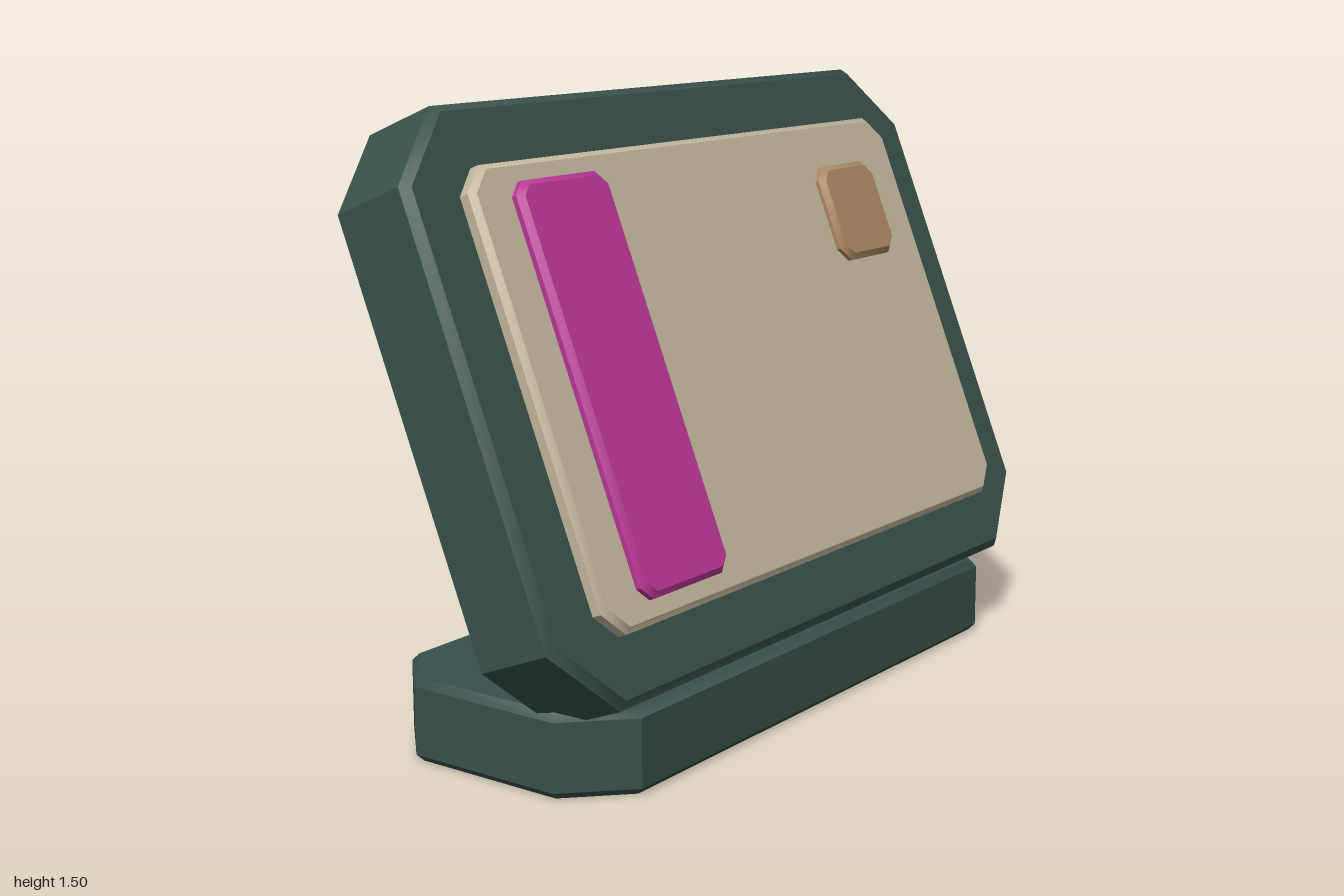
import * as THREE from 'three';
import { toCreasedNormals } from 'three/addons/utils/BufferGeometryUtils.js';

const mat = (name, color) => Object.assign(new THREE.MeshStandardMaterial({ color }), { name });

// Slab with cut corners and a small bevelled rim, centred on its own origin, facing +z
function slab(name, material, w, h, depth, cut, bevel) {
  const x = w / 2 - bevel, y = h / 2 - bevel, c = cut - bevel * 0.59;
  const shape = new THREE.Shape([
    [x - c, -y], [x, -y + c], [x, y - c], [x - c, y],
    [-x + c, y], [-x, y - c], [-x, -y + c], [-x + c, -y],
  ].map(([px, py]) => new THREE.Vector2(px, py)));
  const geo = new THREE.ExtrudeGeometry(shape, {
    depth: depth - 2 * bevel, bevelEnabled: true,
    bevelSize: bevel, bevelThickness: bevel, bevelSegments: 1,
  });
  geo.translate(0, 0, bevel - depth / 2);
  const mesh = new THREE.Mesh(toCreasedNormals(geo, 0.7), material);
  mesh.name = name;
  return mesh;
}

export function createModel() {
  const green = mat('dark green', 0x38504b);
  const tan = mat('tan', 0xc0b69a);
  const magenta = mat('magenta', 0xb83696);
  const brown = mat('light brown', 0xab8862);

  const model = new THREE.Group();
  model.name = 'tiltedDisplay';

  // Flat foot
  const base = slab('base', green, 1.77, 0.69, 0.2, 0.14, 0.018);
  base.rotation.x = -Math.PI / 2;
  base.position.y = 0.1;
  model.add(base);

  // Everything on the head leans back together
  const head = new THREE.Group();
  head.name = 'head';
  head.position.set(0, 0.827, 0.002);
  head.rotation.x = -THREE.MathUtils.degToRad(22);
  model.add(head);

  head.add(slab('housing', green, 2, 1.383, 0.236, 0.17, 0.02));

  // Raised parts: [mesh, x, y, z of the front face, depth]
  const place = (mesh, x, y, front, depth) => {
    mesh.position.set(x, y, front - depth / 2);
    head.add(mesh);
  };
  place(slab('screenPanel', tan, 1.69, 1.074, 0.08, 0.06, 0.014), 0, 0, 0.156, 0.08);
  place(slab('sideStrip', magenta, 0.32, 0.968, 0.05, 0.032, 0.014), -0.565, 0, 0.183, 0.05);
  place(slab('button', brown, 0.255, 0.256, 0.05, 0.035, 0.014), 0.575, 0.286, 0.18, 0.05);

  return model;
}
